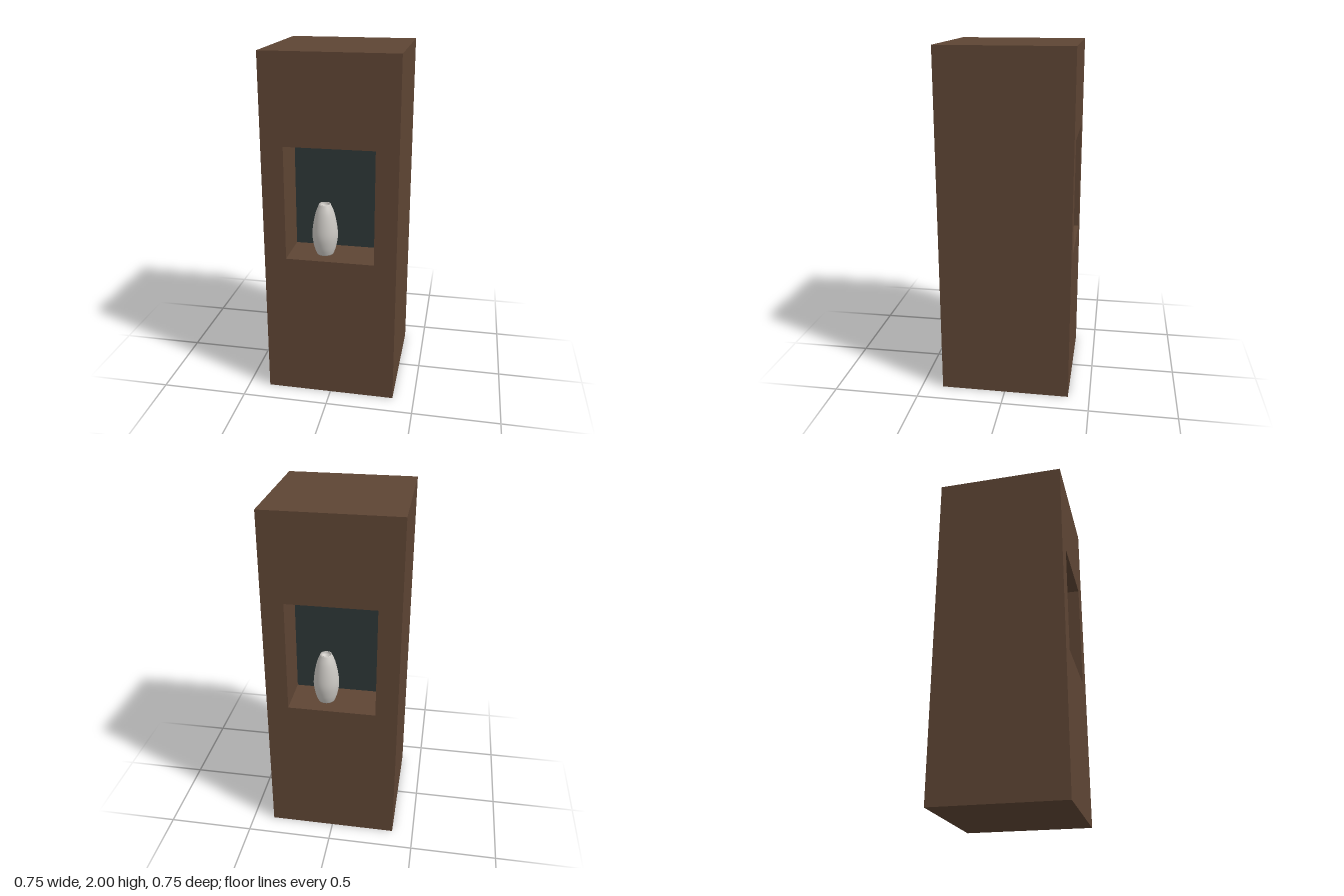
import * as THREE from 'three';

const W = 0.75, H = 2;
const NICHE = { w: 0.5, bottom: 0.85, top: 1.5, depth: 0.25 };

const flat = (name, color, side = THREE.FrontSide) => {
  const m = new THREE.MeshStandardMaterial({ color, side });
  m.name = name;
  return m;
};

// Closed rectangle, usable as an outline or a hole
function rect(Type, w, y0, y1) {
  const p = new Type();
  p.moveTo(-w / 2, y0);
  p.lineTo(w / 2, y0);
  p.lineTo(w / 2, y1);
  p.lineTo(-w / 2, y1);
  p.closePath();
  return p;
}

export function createModel() {
  const wood = flat('dark wood', 0x5e4534);
  const slate = flat('slate', 0x2d3636);
  const ceramic = flat('ceramic', 0xcbc8c3, THREE.DoubleSide);
  const model = new THREE.Group();
  model.name = 'displayPillar';

  const add = (parent, name, geometry, material) => {
    const mesh = new THREE.Mesh(geometry, material);
    mesh.name = name;
    parent.add(mesh);
    return mesh;
  };

  // Square pillar, cut through by the niche opening
  const outline = rect(THREE.Shape, W, 0, H);
  outline.holes.push(rect(THREE.Path, NICHE.w, NICHE.bottom, NICHE.top));
  const body = new THREE.ExtrudeGeometry(outline, { depth: W, bevelEnabled: false });
  body.translate(0, 0, -W / 2);
  add(model, 'pillar', body, wood);

  // Vase: rounded shoulders, narrow mouth, hollow neck
  const outer = new THREE.SplineCurve([
    [0.047, 0], [0.063, 0.045], [0.073, 0.11], [0.067, 0.18], [0.052, 0.25], [0.032, 0.3],
  ].map(([r, y]) => new THREE.Vector2(r, y))).getPoints(24);
  const profile = [
    new THREE.Vector2(0, 0), ...outer,
    new THREE.Vector2(0.026, 0.298), new THREE.Vector2(0.03, 0.28), new THREE.Vector2(0, 0.27),
  ];
  const vaseGeometry = new THREE.LatheGeometry(profile, 32);

  // Identical niche on the front and, turned half round, on the back
  ['front', 'back'].forEach((side, i) => {
    const niche = new THREE.Group();
    niche.name = side + 'Niche';
    niche.rotation.y = i * Math.PI;
    model.add(niche);

    const panelZ = W / 2 - NICHE.depth;
    const panel = new THREE.PlaneGeometry(NICHE.w, NICHE.top - NICHE.bottom);
    add(niche, 'nicheBackPanel', panel, slate)
      .position.set(0, (NICHE.top + NICHE.bottom) / 2, panelZ);
    add(niche, 'vase', vaseGeometry, ceramic)
      .position.set(-0.05, NICHE.bottom, W / 2 - NICHE.depth / 2);
  });

  return model;
}
